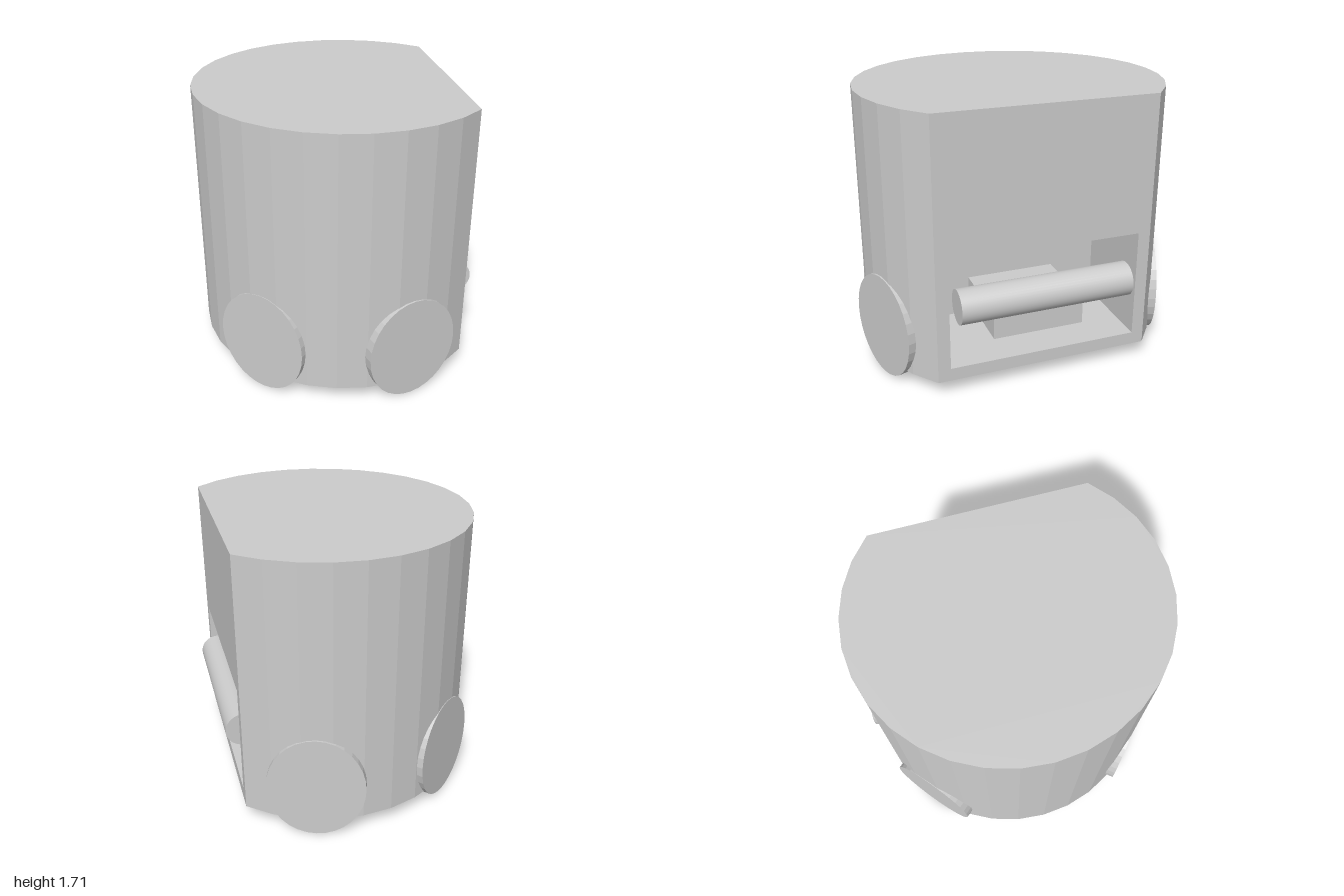
import * as THREE from 'three';

const CX = 0.095, RX = 0.92, RZ = 0.943;   // elliptical body plan
const Y0 = 0.1, Y1 = 1.705;                // body bottom and top
const FLAT_X = CX + RX * Math.SQRT1_2;     // flat side, cut at 45 degrees
const FLAT_Z = RZ * Math.SQRT1_2;

const faceted = new THREE.MeshStandardMaterial({ color: 0xcccccc, flatShading: true });
const smooth = new THREE.MeshStandardMaterial({ color: 0xcccccc });

function addMesh(parent, name, geometry, material = faceted) {
  const mesh = new THREE.Mesh(geometry, material);
  mesh.name = name;
  parent.add(mesh);
  return mesh;
}

function rectPath(path, halfWidth, bottom, top) {
  path.moveTo(-halfWidth, bottom);
  path.lineTo(halfWidth, bottom);
  path.lineTo(halfWidth, top);
  path.lineTo(-halfWidth, top);
  path.closePath();
  return path;
}

function createBody() {
  const body = new THREE.Group();
  body.name = 'body';

  // Curved wall: three quarters of a faceted elliptical drum
  const wall = new THREE.CylinderGeometry(1, 1, Y1 - Y0, 24, 1, true, Math.PI * 0.75, Math.PI * 1.5);
  wall.scale(RX, 1, RZ);
  wall.translate(CX, (Y0 + Y1) / 2, 0);
  addMesh(body, 'curvedWall', wall);

  // Top and bottom, sharing the wall's outline
  const outline = [];
  for (let i = 0; i <= 24; i++) {
    const a = Math.PI / 4 + (i / 24) * Math.PI * 1.5;
    outline.push(new THREE.Vector2(CX + RX * Math.cos(a), RZ * Math.sin(a)));
  }
  const plan = new THREE.Shape(outline);
  addMesh(body, 'top', new THREE.ShapeGeometry(plan).rotateX(-Math.PI / 2).translate(0, Y1, 0));
  addMesh(body, 'bottom', new THREE.ShapeGeometry(plan).rotateX(Math.PI / 2).translate(0, Y0, 0));

  // Flat side with a rectangular opening
  const side = rectPath(new THREE.Shape(), FLAT_Z, Y0, Y1);
  side.holes.push(rectPath(new THREE.Path(), 0.59, 0.18, 0.86));
  addMesh(body, 'flatSide', new THREE.ShapeGeometry(side).rotateY(Math.PI / 2).translate(FLAT_X, 0, 0));

  // Recess lining: a box without its +x face, turned inside out
  const depth = 0.605;
  const recess = new THREE.BoxGeometry(depth, 0.68, 1.18);
  recess.setIndex(Array.from(recess.index.array).slice(6).reverse());
  recess.translate(FLAT_X - depth / 2, 0.52, 0);
  addMesh(body, 'recess', recess);

  // Block projecting from the back of the recess
  const back = FLAT_X - depth, front = 0.645;
  const block = new THREE.BoxGeometry(front - back, 0.17, 0.58);
  block.translate((front + back) / 2, 0.343, 0);
  addMesh(body, 'recessBlock', block);
  return body;
}

function createWheel(name, x, z, angle) {
  // x, z is the centre of the outer face; angle turns +z to point outward
  const thickness = 0.14;
  const geometry = new THREE.CylinderGeometry(1, 1, thickness, 32);
  geometry.rotateX(Math.PI / 2);
  geometry.scale(0.29, 0.326, 1);
  geometry.translate(0, 0, -thickness / 2);
  const wheel = new THREE.Mesh(geometry, faceted);
  wheel.name = name;
  wheel.position.set(x, 0.326, z);
  wheel.rotation.y = angle;
  return wheel;
}

export function createModel() {
  const model = new THREE.Group();
  model.name = 'model';
  model.add(createBody());

  // Horizontal roller in the opening
  const roller = addMesh(model, 'roller', new THREE.CylinderGeometry(0.105, 0.105, 1.07, 40).rotateX(Math.PI / 2), smooth);
  roller.position.set(0.715, 0.56, 0);

  // Four wheels, mirrored front to back
  for (const [end, s] of [['front', 1], ['back', -1]]) {
    const turn = (a) => (s > 0 ? a : Math.PI - a);
    model.add(createWheel(end + 'LeftWheel', 0.373, s * 0.905, turn(0.336)));
    model.add(createWheel(end + 'RightWheel', -0.507, s * 0.712, turn(-0.7)));
  }
  return model;
}
